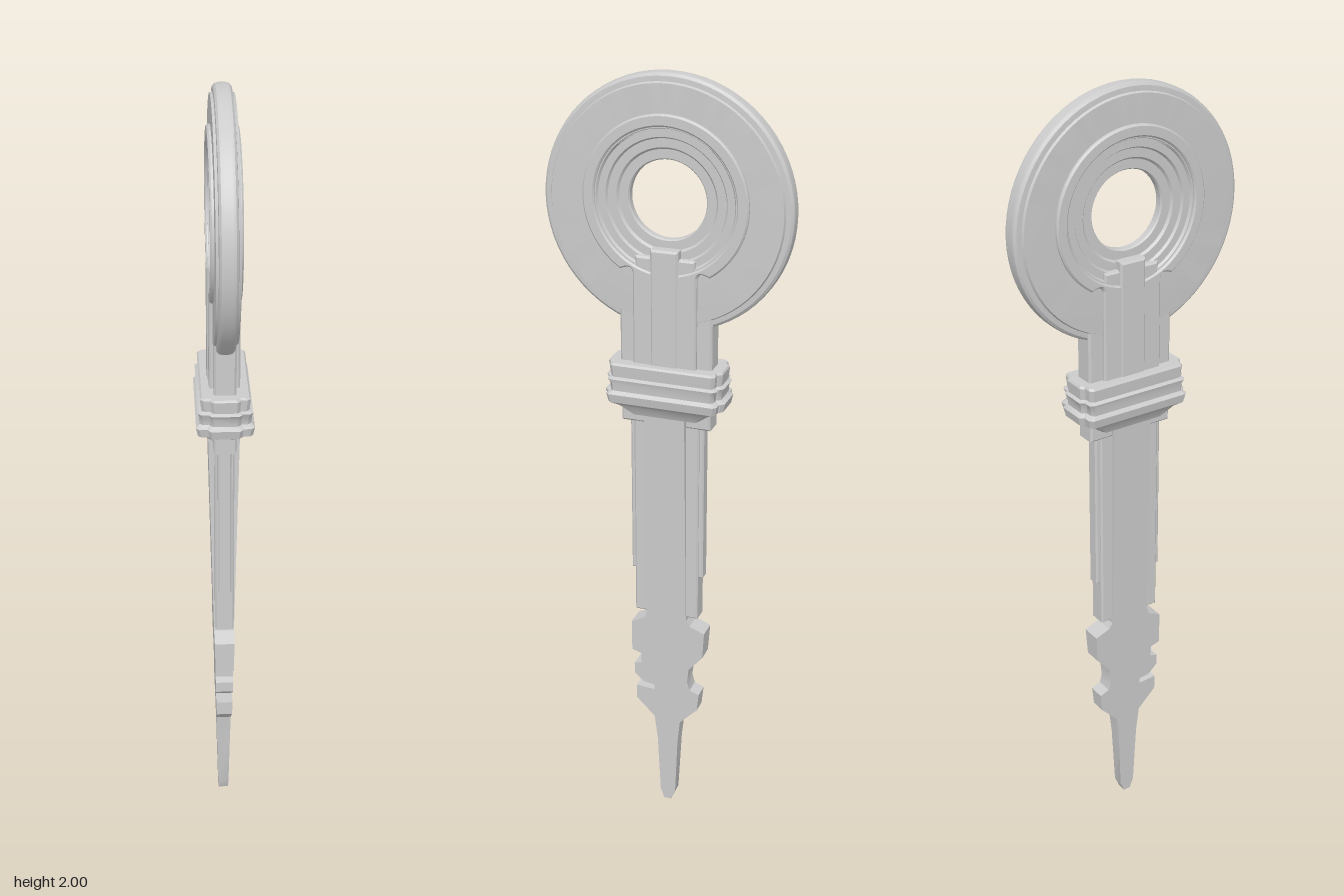
import * as THREE from 'three';
import { toCreasedNormals } from 'three/addons/utils/BufferGeometryUtils.js';

const material = new THREE.MeshStandardMaterial({ color: 0xcccccc });

function add(group, name, geometry) {
  const mesh = new THREE.Mesh(toCreasedNormals(geometry, 0.5), material);
  mesh.name = name;
  group.add(mesh);
  return mesh;
}

// Extrude a (z, y) outline across x, centred, with a small bevel
function slab(shape, half, bevel = 0.005) {
  const g = new THREE.ExtrudeGeometry(shape, {
    depth: 2 * (half - bevel), bevelEnabled: bevel > 0, bevelThickness: bevel,
    bevelSize: bevel, bevelOffset: -bevel, bevelSegments: 1, curveSegments: 48,
  });
  return g.translate(0, 0, bevel - half).rotateY(-Math.PI / 2);
}

const polygon = (pts) => new THREE.Shape(pts.map(([z, y]) => new THREE.Vector2(z, y)));
const rect = (z0, z1, y0, y1) => polygon([[z0, y0], [z1, y0], [z1, y1], [z0, y1]]);

// Ring about the x axis from one half of its (radius, x) section, outside to inside
function ring(half, y) {
  const lower = half.map(([r, x]) => [r, -x]).reverse();
  const pts = [...lower, ...half];
  pts.push(pts[0]);
  return new THREE.LatheGeometry(pts.map(([r, x]) => new THREE.Vector2(r, x)), 72)
    .rotateZ(Math.PI / 2).translate(0, y, 0);
}

// Loft of chamfered rectangles; each row is [y, halfX, halfZ]
function tiers(rows) {
  const pos = [], index = [], c = 0.008, n = 8;
  for (const [y, a, b] of rows) {
    for (const [x, z] of [[a, b - c], [a, c - b], [a - c, -b], [c - a, -b],
      [-a, c - b], [-a, b - c], [c - a, b], [a - c, b]]) pos.push(x, y, z);
  }
  for (let r = 0; r < rows.length - 1; r++) {
    for (let i = 0; i < n; i++) {
      const p = r * n + i, q = r * n + (i + 1) % n;
      index.push(p, q, p + n, q, q + n, p + n);
    }
  }
  const top = (rows.length - 1) * n;
  for (let i = 1; i < n - 1; i++) {
    index.push(0, i + 1, i, top, top + i, top + i + 1);
  }
  const g = new THREE.BufferGeometry();
  g.setAttribute('position', new THREE.Float32BufferAttribute(pos, 3));
  g.setIndex(index);
  return g;
}

export function createModel() {
  const key = new THREE.Group();
  key.name = 'key';

  // Round bow with a softened rim
  add(key, 'bowDisc', ring([[0.308, 0.008], [0.306, 0.016], [0.3, 0.021],
    [0.288, 0.022], [0.285, 0.028], [0.18, 0.028]], 1.692));

  // Stepped recess leading to the hole
  add(key, 'bowRecess', ring([[0.185, 0.03], [0.172, 0.03], [0.168, 0.024], [0.15, 0.024],
    [0.146, 0.018], [0.125, 0.018], [0.12, 0.012], [0.098, 0.012], [0.095, 0.008]], 1.705));

  // Raised keyhole-shaped plate: ring flowing into the neck
  const cy = 1.705, R = 0.204, w = 0.08, a = 0.58;
  const plate = new THREE.Shape();
  plate.moveTo(-w, 1.27);
  plate.lineTo(w, 1.27);
  plate.lineTo(w, 1.525);
  plate.quadraticCurveTo(w, 1.55, R * Math.sin(a), cy - R * Math.cos(a));
  plate.absarc(0, cy, R, a - Math.PI / 2, Math.PI * 1.5 - a, false);
  plate.quadraticCurveTo(-w, 1.55, -w, 1.525);
  plate.closePath();
  const hole = new THREE.Path();
  hole.absarc(0, cy, 0.175, 0, Math.PI * 2, true);
  plate.holes.push(hole);
  add(key, 'keyholePlate', slab(plate, 0.037, 0.004));

  // Neck with a narrow central band
  add(key, 'neck', slab(rect(-0.117, 0.117, 1.26, 1.44), 0.027));
  add(key, 'neckInset', slab(rect(-0.075, 0.075, 1.27, 1.57), 0.033));
  add(key, 'neckBand', slab(rect(-0.035, 0.035, 1.27, 1.59), 0.04));

  // Flanged collar: wide core and a thin tongue showing at each end
  const rows = [[1.165, 0.6, 0.6], [1.19, 0.76, 0.84], [1.2, 0.94, 0.97], [1.222, 1, 1],
    [1.23, 0.88, 0.93], [1.25, 0.9, 0.94], [1.26, 0.94, 0.98], [1.265, 0.82, 0.93],
    [1.295, 0.86, 0.95], [1.3, 0.8, 0.93]];
  const collar = (hx, hz) => tiers(rows.map(([y, sx, sz]) => [y, sx * hx, sz * hz]));
  add(key, 'collar', collar(0.07, 0.142));
  add(key, 'collarTongue', collar(0.042, 0.154));

  // Blade with cut bits, thinning towards the tip
  const blade = slab(polygon([
    [0.052, 1.2], [-0.052, 1.2], [-0.055, 0.59], [-0.065, 0.575], [-0.105, 0.56],
    [-0.1, 0.485], [-0.062, 0.44], [-0.058, 0.4], [-0.065, 0.375], [-0.09, 0.365],
    [-0.085, 0.315], [-0.037, 0.265], [-0.03, 0.2], [-0.022, 0.03], [-0.01, 0],
    [0.01, 0], [0.02, 0.03], [0.027, 0.2], [0.035, 0.27], [0.085, 0.32], [0.085, 0.36],
    [0.035, 0.357], [0.035, 0.372], [0.065, 0.376], [0.09, 0.4], [0.09, 0.43],
    [0.07, 0.435], [0.07, 0.465], [0.096, 0.472], [0.096, 0.56], [0.06, 0.578],
    [0.053, 0.6]]), 1, 0);
  const p = blade.attributes.position;
  for (let i = 0; i < p.count; i++) p.setX(i, p.getX(i) * (0.0135 + 0.022 * p.getY(i)));
  add(key, 'blade', blade);

  // Rails along both edges of the blade
  for (const s of [-1, 1]) {
    const side = s < 0 ? 'Back' : 'Front';
    const strip = (z0, z1, y0, y1) => rect(Math.min(s * z0, s * z1), Math.max(s * z0, s * z1), y0, y1);
    add(key, 'innerRail' + side, slab(strip(0.045, 0.085, 0.6, 1.2), 0.024, 0.004));
    add(key, 'outerRail' + side, slab(strip(0.07, 0.096, 0.72, 1.18), 0.017, 0.004));
    add(key, 'railBlock' + side, slab(strip(0.05, 0.115, 1.14, 1.2), 0.028));
  }
  return key;
}
